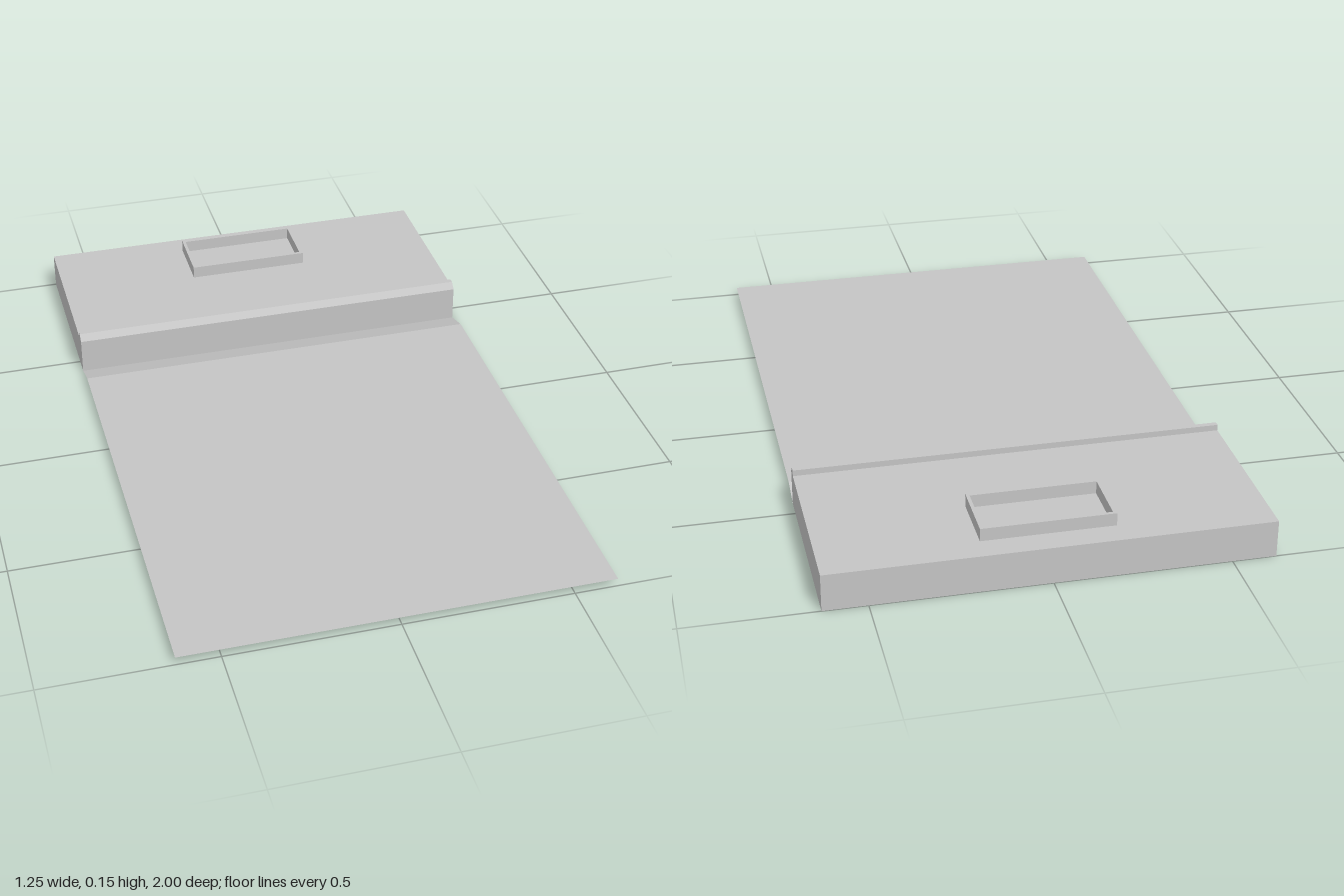
import * as THREE from 'three';

const HALF = 0.625; // half of the overall width

export function createModel() {
  const group = new THREE.Group();
  const grey = new THREE.MeshStandardMaterial({ color: 0xc4c4c4 });
  grey.name = 'plain grey';
  grey.side = THREE.DoubleSide;
  grey.flatShading = true;

  const add = (name, geometry) => {
    const mesh = new THREE.Mesh(geometry, grey);
    mesh.name = name;
    group.add(mesh);
    return mesh;
  };

  // Open sheet: a [z, y] profile swept across x
  const sweep = (name, profile, half = HALF) => {
    const pos = [], index = [];
    profile.forEach(([z, y]) => pos.push(-half, y, z, half, y, z));
    for (let i = 0; i < profile.length - 1; i++) {
      const a = i * 2;
      index.push(a, a + 1, a + 3, a, a + 3, a + 2);
    }
    const g = new THREE.BufferGeometry();
    g.setAttribute('position', new THREE.Float32BufferAttribute(pos, 3));
    g.setIndex(index);
    const flat = g.toNonIndexed();
    flat.computeVertexNormals();
    return add(name, flat);
  };

  // Rectangle outline in the x / z plane
  const rect = (Type, x0, x1, z0, z1) => new Type([
    new THREE.Vector2(x0, -z0), new THREE.Vector2(x0, -z1),
    new THREE.Vector2(x1, -z1), new THREE.Vector2(x1, -z0),
  ]);
  const level = (name, shape, y) =>
    add(name, new THREE.ShapeGeometry(shape).rotateX(-Math.PI / 2).translate(0, y, 0));

  const front = -0.444, back = -1, top = 0.11;
  const lip = [[front, top], [-0.463, 0.128], [-0.479, 0.128], [-0.479, top]];

  // Flat apron and the ramp down to the foot of the front wall
  sweep('apron', [[1, 0.025], [-0.36, 0.025]]);
  sweep('ramp', [[-0.36, 0.025], [front, 0]]);

  // Hollow platform, open underneath, with a raised lip along the front
  sweep('frontWall', [[front, 0], [front, top]]);
  sweep('frontLip', lip);
  sweep('backWall', [[back, top], [back, 0]]);
  const side = new THREE.Shape([[front, 0], ...lip, [back, top], [back, 0]]
    .map(([z, y]) => new THREE.Vector2(-z, y)));
  for (const s of [-1, 1]) {
    add(s > 0 ? 'leftWall' : 'rightWall',
      new THREE.ShapeGeometry(side).rotateY(Math.PI / 2).translate(s * HALF, 0, 0));
  }

  // Raised hollow rim around a rectangular well
  const outer = [-0.192, 0.186, -0.926, -0.741];
  const inner = [-0.182, 0.176, -0.916, -0.751];
  const rimTop = 0.148;

  const deck = rect(THREE.Shape, -HALF, HALF, back, -0.479);
  deck.holes.push(rect(THREE.Path, ...outer));
  level('deck', deck, top);
  level('wellFloor', rect(THREE.Shape, ...inner), top);

  const rim = rect(THREE.Shape, ...outer);
  rim.holes.push(rect(THREE.Path, ...inner));
  level('rimTop', rim, rimTop);

  for (const [label, [x0, x1, z0, z1]] of [['rimOuter', outer], ['rimInner', inner]]) {
    const cx = (x0 + x1) / 2, half = (x1 - x0) / 2;
    for (const z of [z0, z1]) {
      sweep(label + (z === z0 ? 'Back' : 'Front'), [[z, top], [z, rimTop]], half).position.x = cx;
    }
    for (const x of [x0, x1]) {
      add(label + (x === x0 ? 'Right' : 'Left'),
        new THREE.PlaneGeometry(z1 - z0, rimTop - top)
          .rotateY(Math.PI / 2)
          .translate(x, (top + rimTop) / 2, (z0 + z1) / 2));
    }
  }

  return group;
}
